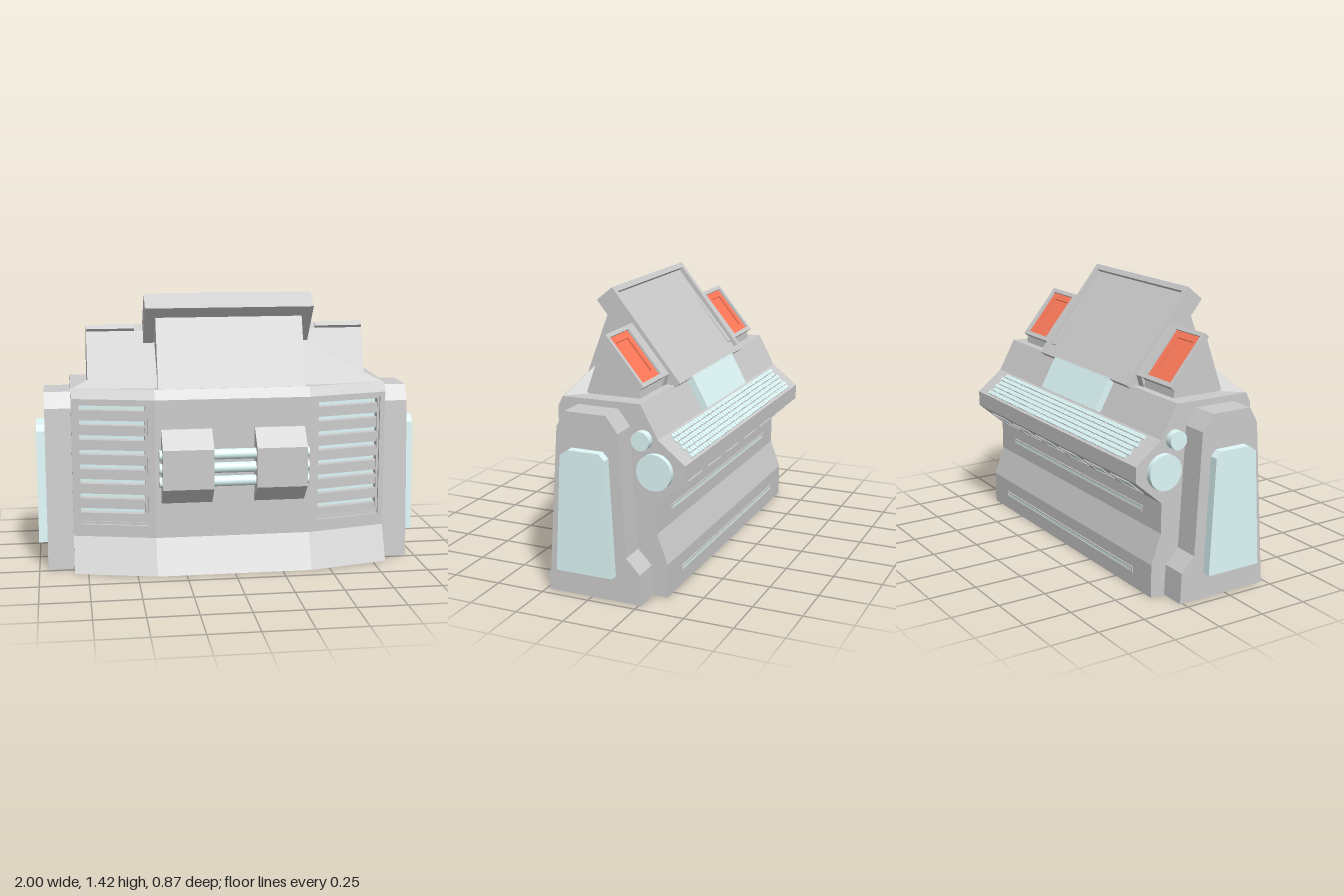
import * as THREE from 'three';
import { mergeGeometries } from 'three/addons/utils/BufferGeometryUtils.js';
import { ConvexGeometry } from 'three/addons/geometries/ConvexGeometry.js';

const grey = new THREE.MeshStandardMaterial({ color: 0xcccccc, flatShading: true });
const cyan = new THREE.MeshStandardMaterial({ color: 0xdff8f8, flatShading: true });
const red = new THREE.MeshStandardMaterial({ color: 0xff7a5a, flatShading: true });
const cyanRound = new THREE.MeshStandardMaterial({ color: 0xdff8f8 });

function add(parent, name, geo, mat, x = 0, y = 0, z = 0) {
  const m = new THREE.Mesh(geo, mat);
  m.name = name;
  m.position.set(x, y, z);
  parent.add(m);
  return m;
}

const box = (w, h, d, x = 0, y = 0, z = 0) => new THREE.BoxGeometry(w, h, d).translate(x, y, z);

// side profile of [z, y] points extruded from x0 to x1
function prism(pts, x0, x1, steps = 1) {
  const shape = new THREE.Shape(pts.map(p => new THREE.Vector2(p[0], p[1])));
  return new THREE.ExtrudeGeometry(shape, { depth: x1 - x0, steps, bevelEnabled: false })
    .rotateY(-Math.PI / 2).translate(x1, 0, 0);
}

function rect(x0, y0, x1, y1, C = THREE.Shape) {
  return new C([[x0, y0], [x1, y0], [x1, y1], [x0, y1]].map(p => new THREE.Vector2(...p)));
}

// rectangular frame centred on the origin, from z = 0 to z = depth
function frame(w, h, border, depth) {
  const s = rect(-w / 2, -h / 2, w / 2, h / 2);
  s.holes.push(rect(-w / 2 + border, -h / 2 + border, w / 2 - border, h / 2 - border, THREE.Path));
  return new THREE.ExtrudeGeometry(s, { depth, bevelEnabled: false });
}

// group lying on the profile edge a-b ([z, y]), local +z pointing outwards
function onEdge(parent, name, a, b, x = 0) {
  const g = new THREE.Group();
  g.name = name;
  g.position.set(x, (a[1] + b[1]) / 2, (a[0] + b[0]) / 2);
  g.rotation.x = Math.atan2(b[0] - a[0], b[1] - a[1]);
  parent.add(g);
  return g;
}

// sweeps the front back towards both sides beyond x = 0.4
function sweepFront(geo) {
  const p = geo.attributes.position;
  for (let i = 0; i < p.count; i++) {
    if (p.getZ(i) > 0.1) p.setZ(i, p.getZ(i) - Math.max(0, Math.abs(p.getX(i)) - 0.4) * 0.238);
  }
  geo.computeVertexNormals();
  return geo;
}

export function createModel() {
  const model = new THREE.Group();
  model.name = 'controlConsole';

  // body, with its front set back behind the front panel
  const core = prism([[0.42, 0], [0.335, 0.18], [0.255, 0.18], [0.255, 0.9], [0.335, 0.9], [0.31, 0.95],
    [-0.2, 0.955], [-0.29, 0.79], [-0.43, 0.68], [-0.43, 0.6], [-0.285, 0.475], [-0.285, 0.32],
    [-0.34, 0.17], [-0.34, 0]], -0.82, 0.82, 3);
  const cp = core.attributes.position;
  for (let i = 0; i < cp.count; i++) {
    const x = cp.getX(i);
    if (Math.abs(x) < 0.5) cp.setX(i, Math.sign(x) * 0.4);
  }
  add(model, 'body', sweepFront(core), grey);

  // front panel in two layers, giving stepped vent openings
  for (const [z, depth, lip] of [[0.255, 0.065, 0], [0.32, 0.015, 0.012]]) {
    const shapes = [rect(-0.4, 0.18, 0.4, 0.9)];
    for (const s of [-1, 1]) {
      const c = s * 0.615, hw = 0.165 + lip;
      const panel = rect(Math.min(s * 0.4, s * 0.82), 0.18, Math.max(s * 0.4, s * 0.82), 0.9);
      panel.holes.push(rect(c - hw, 0.255 - lip, c + hw, 0.865 + lip, THREE.Path));
      shapes.push(panel);
    }
    const geo = new THREE.ExtrudeGeometry(shapes, { depth, bevelEnabled: false }).translate(0, 0, z);
    add(model, 'frontPanel', sweepFront(geo), grey);
  }

  // lit vent backs and slats
  for (const s of [-1, 1]) {
    add(model, 'ventLight', sweepFront(box(0.34, 0.62, 0.01, s * 0.615, 0.56, 0.265)), cyan);
    const slats = [];
    for (let i = 0; i < 8; i++) slats.push(box(0.34, 0.052, 0.04, s * 0.615, 0.274 + i * 0.077, 0.295));
    add(model, 'ventSlats', sweepFront(mergeGeometries(slats)), grey);
  }

  // front blocks joined by three rods
  for (const s of [-1, 1]) {
    const x0 = Math.min(s * 0.11, s * 0.37);
    add(model, 'frontBlock', prism([[0.32, 0.365], [0.345, 0.365], [0.435, 0.455], [0.435, 0.66],
      [0.345, 0.75], [0.32, 0.75]], x0, x0 + 0.26), grey);
  }
  const rod = (name, y, z, r, half) => add(model, name,
    new THREE.CylinderGeometry(r, r, half * 2, 24).rotateZ(Math.PI / 2), cyanRound, 0, y, z);
  for (const y of [0.485, 0.555, 0.625]) rod('frontRod', y, 0.385, 0.027, 0.385);

  // side knobs, as axles through the body
  rod('largeKnob', 0.635, -0.28, 0.09, 0.85);
  rod('smallKnob', 0.785, -0.215, 0.047, 0.86);

  // side pods with cover plates
  for (const s of [-1, 1]) {
    const pod = Math.min(s * 0.8, s * 0.955), plate = Math.min(s * 0.95, s);
    add(model, 'sidePod', prism([[0.23, 0], [0.173, 0.84], [0.128, 0.92], [-0.087, 0.92], [-0.147, 0.84],
      [-0.185, 0.23], [-0.256, 0.155], [-0.264, 0]], pod, pod + 0.155), grey);
    add(model, 'sidePlate', prism([[0.166, 0.13], [0.135, 0.715], [0.094, 0.745], [-0.07, 0.745],
      [-0.098, 0.715], [-0.13, 0.13]], plate, plate + 0.05), cyan);
  }

  // tower carrying the screen
  add(model, 'tower', prism([[0.31, 0.94], [0.17, 1.31], [0.13, 1.33], [-0.18, 0.96], [-0.18, 0.94]],
    -0.38, 0.38), grey);
  const screen = onEdge(model, 'screen', [0.132, 1.42], [-0.237, 0.965]);
  add(screen, 'screenSlab', box(0.87, 0.586, 0.085, 0, 0, -0.0665), grey);
  add(screen, 'screenFrame', frame(0.87, 0.586, 0.03, 0.024).translate(0, 0, -0.024), grey);

  for (const s of [-1, 1]) {
    // ramp between tower and body corner
    add(model, 'ramp', new ConvexGeometry([[0.82, 0.945, 0.21], [0.37, 0.955, 0.29], [0.37, 1.17, 0.09],
      [0.68, 0.96, 0.125], [0.37, 0.93, 0.08], [0.72, 0.94, 0.08]]
      .map(p => new THREE.Vector3(s * p[0], p[1], p[2]))), grey);
    // button housing with recessed red button
    const x0 = Math.min(s * 0.37, s * 0.73);
    add(model, 'buttonHousing', prism([[0.125, 0.94], [0.125, 0.96], [0.035, 1.217], [-0.154, 0.991],
      [-0.16, 0.94]], x0, x0 + 0.36), grey);
    const b = onEdge(model, 'button', [0.023, 1.25], [-0.177, 1.01], s * 0.605);
    add(b, 'buttonFrame', frame(0.25, 0.312, 0.022, 0.03).translate(0, 0, -0.03), grey);
    add(b, 'buttonFace', box(0.21, 0.27, 0.01, 0, 0, -0.028), red);
    add(b, 'buttonRim', frame(0.206, 0.268, 0.035, 0.012).translate(0, 0, -0.024), red);
    add(model, 'housingInnerWall', prism([[0.1, 0.95], [0.023, 1.25], [-0.177, 1.01], [-0.16, 0.95]],
      s > 0 ? 0.37 : -0.48, s > 0 ? 0.48 : -0.37), grey);
  }

  // display above the keyboard
  const display = onEdge(model, 'display', [-0.2, 0.955], [-0.29, 0.79]);
  add(display, 'displayPlate', box(0.55, 0.18, 0.05, 0, 0, 0.012), cyan);

  // keyboard with staggered keys
  const keyboard = onEdge(model, 'keyboard', [-0.29, 0.79], [-0.43, 0.68]);
  const keys = [];
  for (let r = 0; r < 6; r++) {
    for (let c = 0; c < 46; c++) {
      keys.push(box(0.025, 0.02, 0.012, (c - 22.75 + (r % 2) * 0.5) * 0.031, (r - 2.5) * 0.026, 0.003));
    }
  }
  add(keyboard, 'keys', mergeGeometries(keys), cyan);

  // windows under the keyboard shelf
  for (let i = 0; i < 6; i++) {
    const w = onEdge(model, 'shelfWindow', [-0.43, 0.6], [-0.285, 0.475], (i - 2.5) * 0.252);
    add(w, 'windowFrame', frame(0.17, 0.11, 0.008, 0.006), grey);
    add(w, 'windowPane', box(0.156, 0.096, 0.004), cyan);
  }

  // long light strips on the back
  for (const [y, z] of [[0.4, -0.285], [0.09, -0.34]]) {
    const strip = onEdge(model, 'backStrip', [z, y + 0.02], [z, y - 0.02]);
    add(strip, 'stripFrame', frame(1.32, 0.03, 0.007, 0.006), grey);
    add(strip, 'stripLight', box(1.31, 0.018, 0.004), cyan);
  }
  return model;
}
